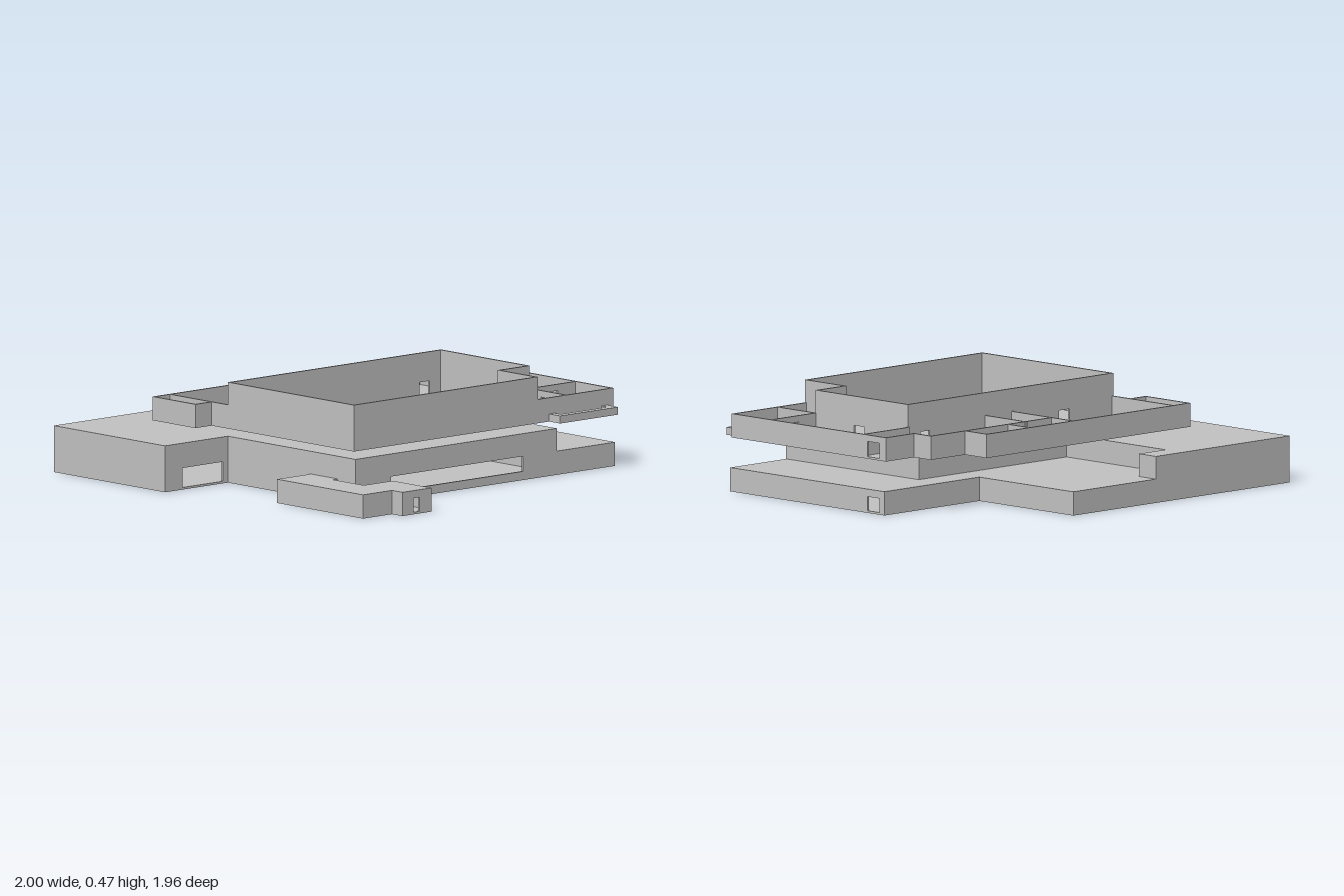
import * as THREE from 'three';

const T = 0.01; // wall thickness

export function createModel() {
  const model = new THREE.Group();
  model.name = 'splitLevelBuilding';
  const grey = new THREE.MeshStandardMaterial({ color: 0xc2c2c2 });
  grey.name = 'plasterGrey';

  const add = (name, geometry, parent = model) => {
    const mesh = new THREE.Mesh(geometry, grey);
    mesh.name = name;
    parent.add(mesh);
    return mesh;
  };
  const group = (name) => {
    const g = new THREE.Group();
    g.name = name;
    model.add(g);
    return g;
  };
  const toPoints = (pts) => pts.map(([x, z]) => new THREE.Vector2(x, -z));

  // Flat plate or solid mass from a plan outline of [x, z] corners
  function slab(name, outline, y0, y1, parent, hole) {
    const shape = new THREE.Shape(toPoints(outline));
    if (hole) shape.holes.push(new THREE.Path(toPoints(hole)));
    const g = new THREE.ExtrudeGeometry(shape, { depth: y1 - y0, bevelEnabled: false });
    g.rotateX(-Math.PI / 2).translate(0, y0, 0);
    return add(name, g, parent);
  }

  // Straight wall along x or z; openings are [from, to, bottom, top]
  function wall(name, [xa, za], [xb, zb], y0, y1, parent, openings = []) {
    const alongX = Math.abs(xb - xa) > Math.abs(zb - za);
    const fixed = alongX ? za : xa;
    const start = Math.min(alongX ? xa : za, alongX ? xb : zb) - T / 2;
    const end = Math.max(alongX ? xa : za, alongX ? xb : zb) + T / 2;
    const piece = (a, b, lo, hi) => {
      if (b - a < 0.001 || hi - lo < 0.001) return;
      const g = alongX ? new THREE.BoxGeometry(b - a, hi - lo, T) : new THREE.BoxGeometry(T, hi - lo, b - a);
      const mid = (a + b) / 2;
      g.translate(alongX ? mid : fixed, (lo + hi) / 2, alongX ? fixed : mid);
      add(name, g, parent);
    };
    let at = start;
    for (const [a, b, lo, hi] of openings) {
      piece(at, a, y0, y1);
      piece(a, b, y0, lo);
      piece(a, b, hi, y1);
      at = b;
    }
    piece(at, end, y0, y1);
  }

  // Right-angled outline moved inward by d
  function inset(pts, d) {
    const n = pts.length;
    const area = pts.reduce((s, [x, z], i) => {
      const [u, v] = pts[(i + 1) % n];
      return s + x * v - u * z;
    }, 0);
    const s = Math.sign(area) * d;
    const normal = (i) => {
      const [x, z] = pts[(i + n) % n], [u, v] = pts[(i + 1 + n) % n];
      return [-Math.sign(v - z) * s, Math.sign(u - x) * s];
    };
    return pts.map(([x, z], i) => {
      const a = normal(i - 1), b = normal(i);
      return [x + a[0] + b[0], z + a[1] + b[1]];
    });
  }

  // Walls around an outline; openings are keyed by edge number
  function ring(name, outline, y0, y1, parent, openings = {}) {
    const c = inset(outline, T / 2);
    c.forEach((p, i) => wall(name, p, c[(i + 1) % c.length], y0, y1, parent, openings[i]));
  }

  // Lower storey: floor, walls with window and doors, low roof around the hall
  const lower = group('lowerStorey');
  const lowPlan = [
    [-0.61, 0.63], [1, 0.63], [1, -0.37], [0.39, -0.37],
    [0.39, -0.98], [-1, -0.98], [-1, -0.23], [-0.61, -0.23],
  ];
  const hallPlan = [[-0.61, 0.63], [0.64, 0.63], [0.64, -0.23], [-0.61, -0.23]];
  slab('lowerFloor', lowPlan, 0, T, lower);
  ring('lowerWall', lowPlan, 0, 0.11, lower, {
    0: [[-0.39, 0.43, 0.04, 0.11]],
    1: [[-0.34, -0.26, T, 0.075]],
    6: [[-0.89, -0.64, T, 0.108]],
  });
  slab('lowRoof', [
    [0.64, 0.63], [1, 0.63], [1, -0.37], [0.39, -0.37], [0.39, -0.98],
    [-1, -0.98], [-1, -0.23], [0.64, -0.23],
  ], 0.1, 0.11, lower);
  ring('lowerHallWall', hallPlan, 0.11, 0.205, lower);
  wall('lowerHallSide', [0.635, 0.625], [0.635, -0.225], T, 0.11, lower);
  wall('lowerHallBack', [-0.605, -0.225], [0.635, -0.225], T, 0.11, lower);
  slab('lowerHallRoof', hallPlan, 0.205, 0.215, lower);

  // Raised rear block with a stepped edge
  slab('rearBlock', [
    [-1, -0.23], [-1, -0.98], [-0.14, -0.98], [-0.14, -0.87], [-0.31, -0.87], [-0.31, -0.23],
  ], 0.11, 0.215, lower);

  // Entrance annex beside the hall
  const annex = group('entranceAnnex');
  const annexPlan = [
    [-0.82, 0.33], [-0.61, 0.33], [-0.61, 0.51], [-0.64, 0.51], [-0.64, 0.72],
    [-0.46, 0.72], [-0.46, 0.98], [-0.64, 0.98], [-0.64, 0.91], [-0.82, 0.91],
  ];
  slab('annexFloor', annexPlan, 0, T, annex);
  ring('annexWall', annexPlan, 0, 0.1, annex, { 6: [[-0.57, -0.535, T, 0.075]] });
  slab('annexRoof', annexPlan, 0.1, 0.11, annex);

  // Upper storey: open-topped rooms on a floor plate
  const upper = group('upperStorey');
  const F = 0.25, D = 0.33, L = 0.36;
  const upperPlan = [
    [-0.61, 0.62], [1, 0.62], [1, -0.38], [0.82, -0.38], [0.82, -0.49], [0.6, -0.49],
    [0.6, -0.63], [-0.71, -0.63], [-0.71, -0.34], [-0.61, -0.34],
  ];
  slab('upperFloor', upperPlan, F, F + T, upper);
  ring('upperWall', upperPlan, F, L, upper, { 1: [[-0.34, -0.26, F + T, D]] });

  // Tall hall with a notched corner
  const tallPlan = [
    [-0.61, 0.62], [0.53, 0.62], [0.53, 0.37], [0.71, 0.37], [0.71, -0.23], [-0.61, -0.23],
  ];
  ring('tallHallWall', tallPlan, F, 0.465, upper, {
    2: [[0.61, 0.66, F + T, D]],
    3: [[0.05, 0.12, F + T, D]],
    4: [[-0.33, -0.26, F + T, D], [0.57, 0.63, F + T, D]],
  });

  // Low partitions between the small rooms
  const partitions = [
    [[0.71, 0.37], [0.71, 0.61], [[0.45, 0.51, F + T, D]]],
    [[0.71, 0.37], [0.99, 0.37], [[0.82, 0.88, F + T, D]]],
    [[0.71, -0.23], [0.99, -0.23], [[0.82, 0.88, F + T, D]]],
    [[0.04, -0.62], [0.04, -0.23]],
    [[0.21, -0.49], [0.21, -0.23]],
    [[0.04, -0.485], [0.6, -0.485]],
    [[0.32, -0.62], [0.32, -0.49]],
    [[-0.605, -0.62], [-0.605, -0.23]],
  ];
  for (const [a, b, openings] of partitions) wall('partition', a, b, F, L, upper, openings);

  // Open balcony frame
  slab('balconyFrame', [
    [0.6, 0.62], [0.6, 0.695], [0.96, 0.695], [0.96, 0.62],
    [0.925, 0.62], [0.925, 0.66], [0.635, 0.66], [0.635, 0.62],
  ], F, 0.285, upper);

  return model;
}
